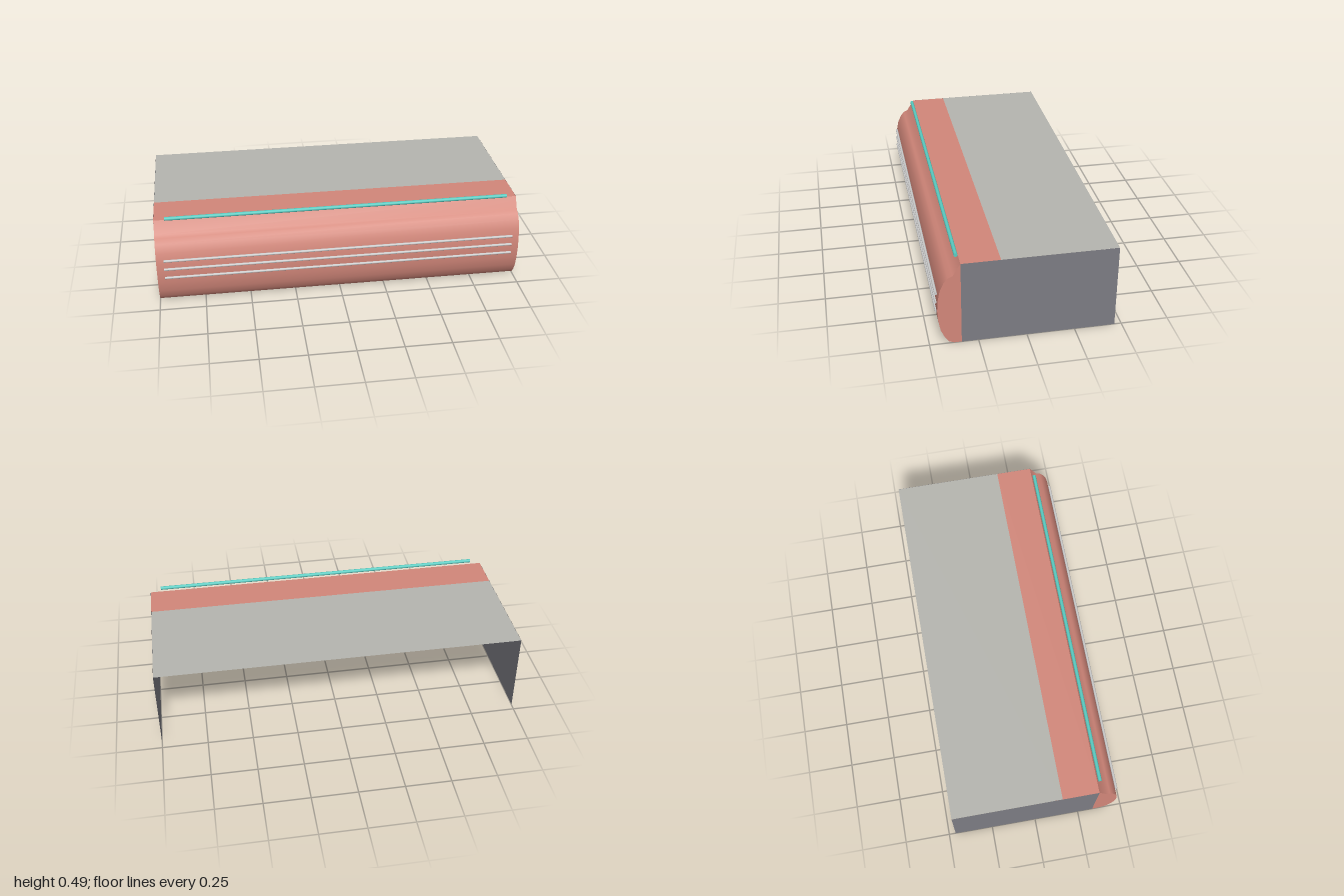
import * as THREE from 'three';
import { toCreasedNormals } from 'three/addons/utils/BufferGeometryUtils.js';

const material = (name, color, extra = {}) => {
  const m = new THREE.MeshStandardMaterial({ color, ...extra });
  m.name = name;
  return m;
};

export function createModel() {
  const group = new THREE.Group();
  const salmon = material('salmon', 0xd2877a);
  const topGrey = material('top grey', 0xb5b5af, { side: THREE.DoubleSide });
  const sideGrey = material('side grey', 0x7c7c83, { side: THREE.DoubleSide });
  const chrome = material('pale trim', 0xcccccc);
  const teal = material('teal', 0x5accc2);

  const add = (name, geometry, mat, x = 0, y = 0, z = 0) => {
    const mesh = new THREE.Mesh(geometry, mat);
    mesh.name = name;
    mesh.position.set(x, y, z);
    group.add(mesh);
    return mesh;
  };

  const height = 0.466, back = -0.463, bodyBack = 0.136, lip = 0.336;

  // Bulging counter front: a [z, y] profile swept along x
  const profile = [
    [bodyBack, 0], [0.375, 0], [0.4, 0.01], [0.421, 0.038], [0.441, 0.083],
    [0.452, 0.14], [0.456, 0.2], [0.452, 0.262], [0.441, 0.318], [0.421, 0.364],
    [0.4, 0.389], [0.376, 0.4], [lip, height], [bodyBack, height],
  ];
  const shape = new THREE.Shape(profile.map(([z, y]) => new THREE.Vector2(-z, y)));
  const front = new THREE.ExtrudeGeometry(shape, { depth: 2, bevelEnabled: false });
  front.translate(0, 0, -1).rotateY(Math.PI / 2);
  add('counterFront', toCreasedNormals(front, 0.65), salmon);

  // Thin worktop behind the front
  const top = new THREE.PlaneGeometry(2, bodyBack - back).rotateX(-Math.PI / 2);
  add('worktop', top, topGrey, 0, height, (bodyBack + back) / 2);

  // Thin end panels, open at the back and underneath
  for (const side of [-1, 1]) {
    const panel = new THREE.PlaneGeometry(lip - back, height).rotateY(side * Math.PI / 2);
    add(side > 0 ? 'leftPanel' : 'rightPanel', panel, sideGrey,
      side * 1.0006, height / 2, (lip + back) / 2);
  }

  // Horizontal rods on the front and the bar along the top edge
  const rod = (name, radius, length, mat, y, z) =>
    add(name, new THREE.CylinderGeometry(radius, radius, length, 12).rotateZ(Math.PI / 2), mat, 0, y, z);
  [0.28, 0.228, 0.175].forEach((y, i) => rod(`trimRod${i + 1}`, 0.007, 1.92, chrome, y, 0.456));
  rod('edgeBar', 0.01, 1.88, teal, 0.48, 0.35);

  return group;
}
